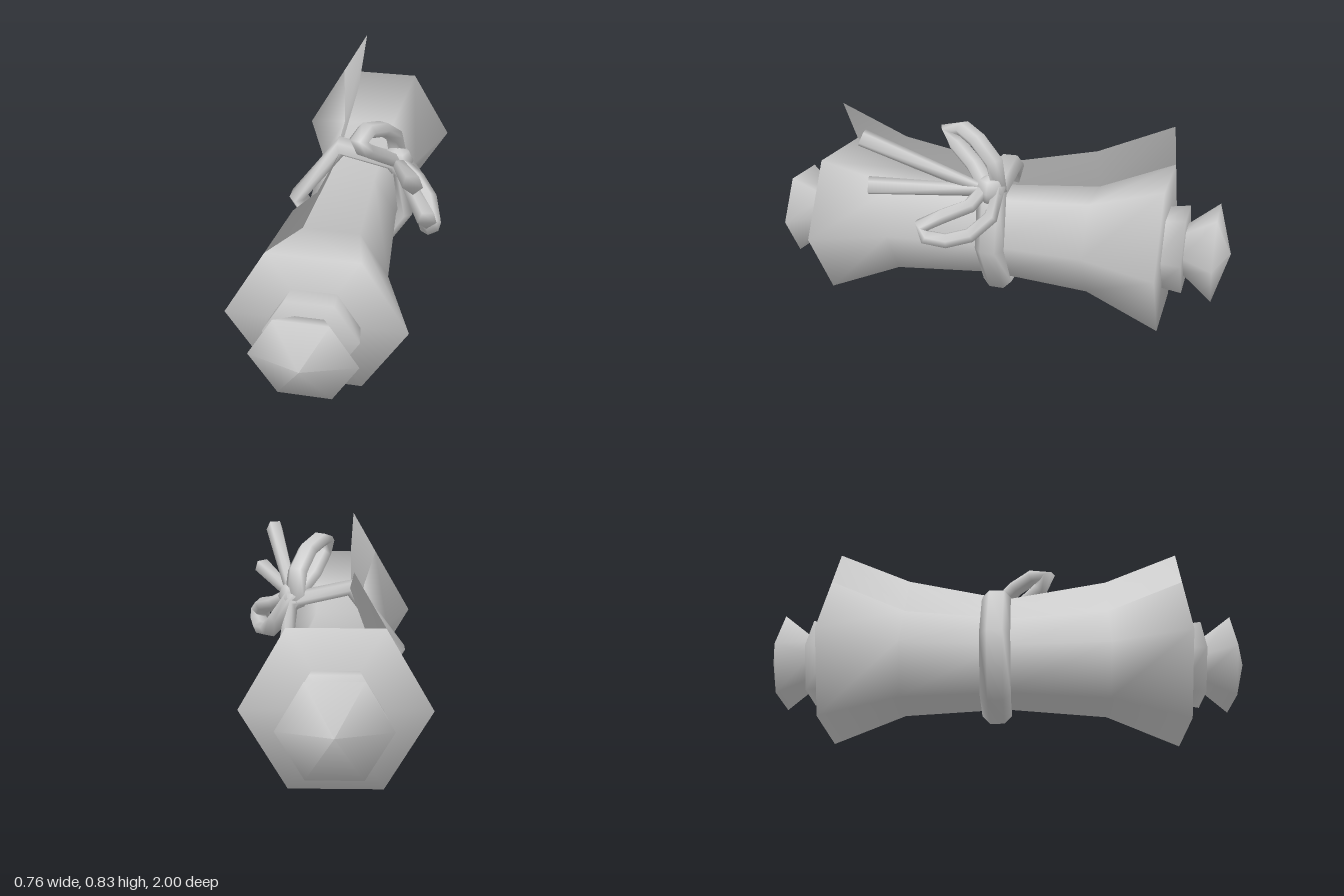
import * as THREE from 'three';

const grey = new THREE.MeshStandardMaterial({ color: 0xcccccc, side: THREE.DoubleSide });

function addMesh(parent, geometry, name) {
  const mesh = new THREE.Mesh(geometry, grey);
  mesh.name = name;
  parent.add(mesh);
  return mesh;
}

// Six-sided turned solid along z, profile given as [radius, z] with z rising
function hexTurned(profile) {
  const pts = profile.map(([r, z]) => new THREE.Vector2(r, z));
  return new THREE.LatheGeometry(pts, 6, Math.PI / 2).rotateX(Math.PI / 2);
}

// Smooth tube along a polyline; sizes are [thickness, width], width runs along side
function sweep(points, side, sizes, closed, sides = 6) {
  const p = points.map((a) => new THREE.Vector3(...a));
  const n = p.length;
  const pos = [];
  const index = [];
  p.forEach((c, i) => {
    const prev = closed ? p[(i + n - 1) % n] : p[Math.max(i - 1, 0)];
    const next = closed ? p[(i + 1) % n] : p[Math.min(i + 1, n - 1)];
    const t = next.clone().sub(prev).normalize();
    const u = side.clone().addScaledVector(t, -side.dot(t)).normalize();
    const v = new THREE.Vector3().crossVectors(t, u);
    const [h, w] = sizes[i % sizes.length];
    for (let k = 0; k < sides; k++) {
      const a = (k / sides) * Math.PI * 2;
      const q = c.clone().addScaledVector(u, Math.cos(a) * w).addScaledVector(v, Math.sin(a) * h);
      pos.push(q.x, q.y, q.z);
    }
  });
  const spans = closed ? n : n - 1;
  for (let i = 0; i < spans; i++) {
    for (let k = 0; k < sides; k++) {
      const a = i * sides + k;
      const b = i * sides + ((k + 1) % sides);
      const c = ((i + 1) % n) * sides + k;
      const d = ((i + 1) % n) * sides + ((k + 1) % sides);
      index.push(a, b, c, b, d, c);
    }
  }
  if (!closed) {
    const last = (n - 1) * sides;
    for (let k = 1; k < sides - 1; k++) index.push(0, k + 1, k, last, last + k, last + k + 1);
  }
  const g = new THREE.BufferGeometry();
  g.setAttribute('position', new THREE.Float32BufferAttribute(pos, 3));
  g.setIndex(index);
  g.computeVertexNormals();
  return g;
}

// Normal of the plane a loop of points lies in
function loopNormal(points) {
  const sum = new THREE.Vector3();
  points.forEach((a, i) => {
    const b = points[(i + 1) % points.length];
    sum.add(new THREE.Vector3(...a).cross(new THREE.Vector3(...b)));
  });
  return sum.normalize();
}

export function createModel() {
  const model = new THREE.Group();
  model.name = 'tiedScroll';

  // Rolled sheet with its handles, very slightly tilted
  const scroll = new THREE.Group();
  scroll.name = 'scroll';
  scroll.position.set(-0.018, 0.317, 0);
  scroll.rotation.set(0.017, -0.006, 0);
  model.add(scroll);

  const rings = [[0.35, -0.74], [0.226, -0.43], [0.195, 0], [0.226, 0.43], [0.35, 0.74]];
  addMesh(scroll, hexTurned([[0, -0.74], ...rings, [0, 0.74]]), 'rolledPaper');

  // Collar and knob at each end
  for (const end of [1, -1]) {
    const handle = new THREE.Group();
    handle.name = end > 0 ? 'frontHandle' : 'backHandle';
    if (end < 0) handle.rotation.x = Math.PI;
    scroll.add(handle);
    addMesh(handle, hexTurned([[0.168, 0.72], [0.183, 0.82], [0, 0.82]]), 'collar');
    addMesh(handle, hexTurned([[0.1, 0.81], [0.203, 0.94], [0, 1]]), 'knob');
  }

  // Loose edge of the sheet, carrying on from the upper right face
  const tips = [[-0.062, 0.5], [-0.048, 0.375], [-0.052, 0.285], [-0.05, 0.37], [-0.062, 0.5]];
  const flapPos = [];
  const flapIndex = [];
  rings.forEach(([r, z], i) => {
    flapPos.push(-r / 2, r * 0.866, z, ...tips[i], z);
    const a = i * 2;
    if (i < rings.length - 1) flapIndex.push(a, a + 2, a + 1, a + 1, a + 2, a + 3);
  });
  const flap = new THREE.BufferGeometry();
  flap.setAttribute('position', new THREE.Float32BufferAttribute(flapPos, 3));
  flap.setIndex(flapIndex);
  flap.computeVertexNormals();
  addMesh(scroll, flap, 'looseEdge');

  // Ribbon tied around the middle
  const ribbon = new THREE.Group();
  ribbon.name = 'ribbon';
  model.add(ribbon);
  const z = -0.04;
  const band = [[0.18, 0.555, z], [-0.07, 0.61, z], [-0.27, 0.34, z], [-0.145, 0.125, z], [0.1, 0.125, z], [0.215, 0.32, z]];
  addMesh(ribbon, sweep(band, new THREE.Vector3(0, 0, 1), [[0.037, 0.063]], true), 'band');

  // Bow loops
  const loops = {
    upperLoop: [[0.17, 0.57, -0.07], [0.155, 0.68, -0.045], [0.115, 0.755, 0.04], [0.065, 0.785, 0.12], [0.045, 0.775, 0.19], [0.06, 0.715, 0.15], [0.1, 0.645, 0.06], [0.15, 0.59, 0]],
    lowerLoop: [[0.17, 0.57, -0.07], [0.24, 0.475, -0.055], [0.285, 0.405, 0.02], [0.325, 0.385, 0.11], [0.345, 0.4, 0.19], [0.34, 0.445, 0.21], [0.315, 0.49, 0.12], [0.255, 0.52, 0.03], [0.19, 0.56, 0]],
  };
  for (const [name, path] of Object.entries(loops)) {
    addMesh(ribbon, sweep(path, loopNormal(path), [[0.032, 0.045]], true), name);
  }

  // Knot and the two hanging ends
  const knot = new THREE.SphereGeometry(0.065, 6, 4).translate(0.175, 0.57, -0.035);
  addMesh(ribbon, knot, 'knot');
  const ends = { upperTail: [0.292, 0.778, 0.475], lowerTail: [0.348, 0.597, 0.43] };
  for (const [name, tip] of Object.entries(ends)) {
    const path = [[0.18, 0.565, -0.01], tip];
    addMesh(ribbon, sweep(path, new THREE.Vector3(0.4, -0.2, -0.2).normalize(), [[0.026, 0.026], [0.037, 0.04]], false, 5), name);
  }

  return model;
}
